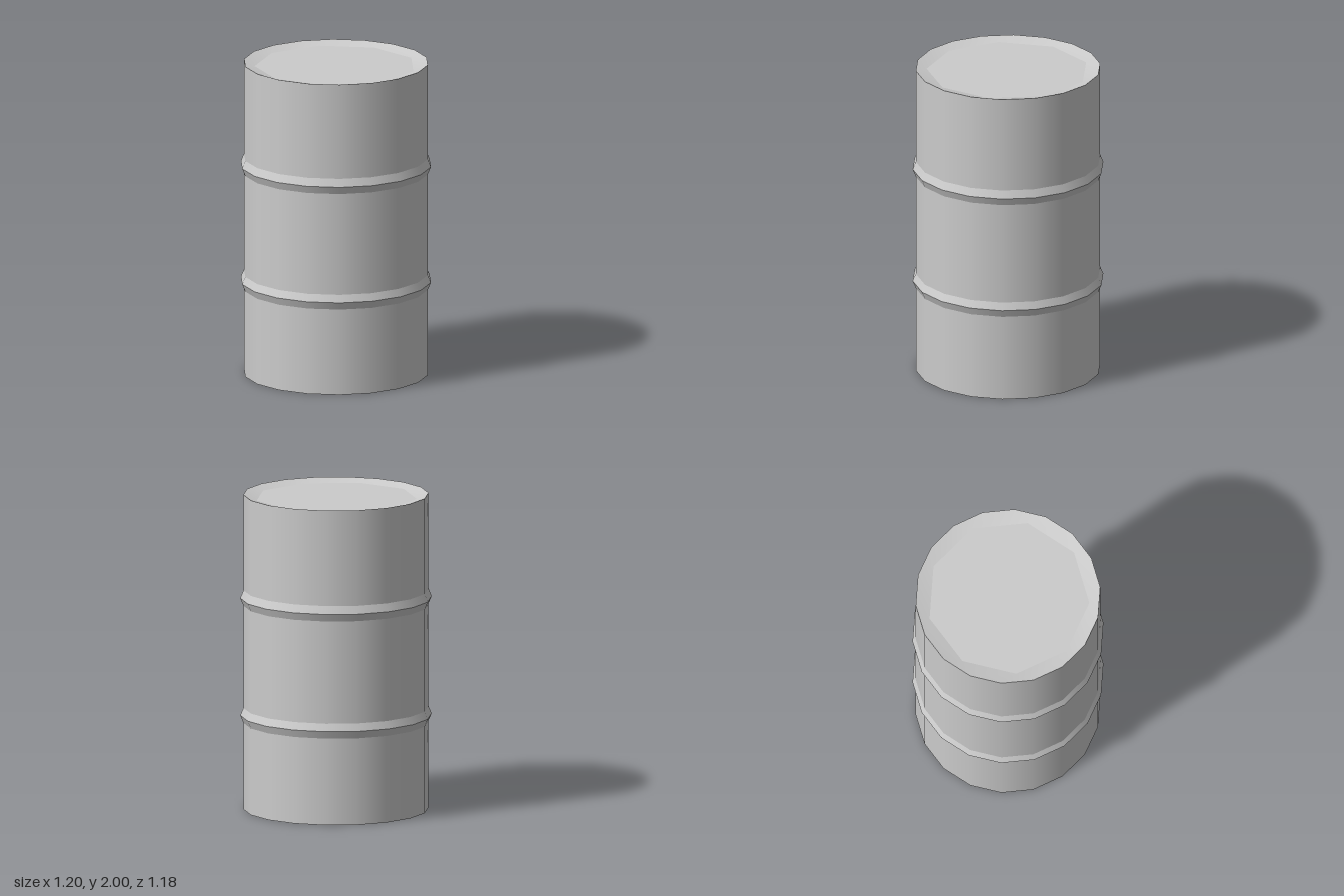
import * as THREE from 'three';

const SIDES = 18;
const STEP = (Math.PI * 2) / SIDES;
const BODY_R = 0.58, RIDGE_R = 0.6;

// Point on a circle, angle measured from the back (-z) towards +x
const around = (r, y, a) => [r * Math.sin(a), y, -r * Math.cos(a)];

// Sunken lid: an 18-sided rim sloping down to a flat 9-sided panel
function makeLid(material) {
  const panelR = 0.51, depth = 0.022, n = SIDES / 2;
  const points = [], slope = [], rim = (i) => n + (i % SIDES);
  for (let k = 0; k < n; k++) points.push(...around(panelR, -depth, 2 * k * STEP));
  for (let i = 0; i < SIDES; i++) points.push(...around(BODY_R, 0, (i - 0.5) * STEP));
  for (let k = 0; k < n; k++) {
    const a = k, b = (k + 1) % n;
    slope.push(a, rim(2 * k + 1), rim(2 * k));
    slope.push(a, rim(2 * k + 2), rim(2 * k + 1));
    slope.push(a, b, rim(2 * k + 2));
  }
  const geometry = new THREE.BufferGeometry();
  geometry.setAttribute('position', new THREE.Float32BufferAttribute(points, 3));
  geometry.setIndex(slope);
  geometry.computeVertexNormals();
  const lipMesh = new THREE.Mesh(geometry, material);
  lipMesh.name = 'lidSlope';

  const panel = new THREE.CircleGeometry(panelR, n, Math.PI / 2);
  panel.rotateX(-Math.PI / 2);
  const panelMesh = new THREE.Mesh(panel, material);
  panelMesh.name = 'lidPanel';
  panelMesh.position.y = -depth;

  const lid = new THREE.Group();
  lid.add(lipMesh, panelMesh);
  return lid;
}

export function createModel() {
  const barrel = new THREE.Group();
  barrel.name = 'barrel';
  const material = new THREE.MeshStandardMaterial({ color: 0xcccccc, side: THREE.DoubleSide });

  // Wall bands and ridge slopes, smooth around and sharp between bands
  const profile = [
    [BODY_R, 0], [BODY_R, 0.55], [RIDGE_R, 0.598], [BODY_R, 0.645],
    [BODY_R, 1.295], [RIDGE_R, 1.343], [BODY_R, 1.393], [BODY_R, 2],
  ];
  for (let i = 0; i < profile.length - 1; i++) {
    const [r0, y0] = profile[i], [r1, y1] = profile[i + 1];
    const band = new THREE.Mesh(
      new THREE.CylinderGeometry(r1, r0, y1 - y0, SIDES, 1, true, STEP / 2), material);
    band.name = r0 === r1 ? 'wall' : 'ridgeSlope';
    band.position.y = (y0 + y1) / 2;
    barrel.add(band);
  }

  // Lid and matching base
  const top = makeLid(material);
  top.name = 'lid';
  top.position.y = 2;
  const base = makeLid(material);
  base.name = 'base';
  base.rotation.x = Math.PI;
  barrel.add(top, base);

  return barrel;
}
